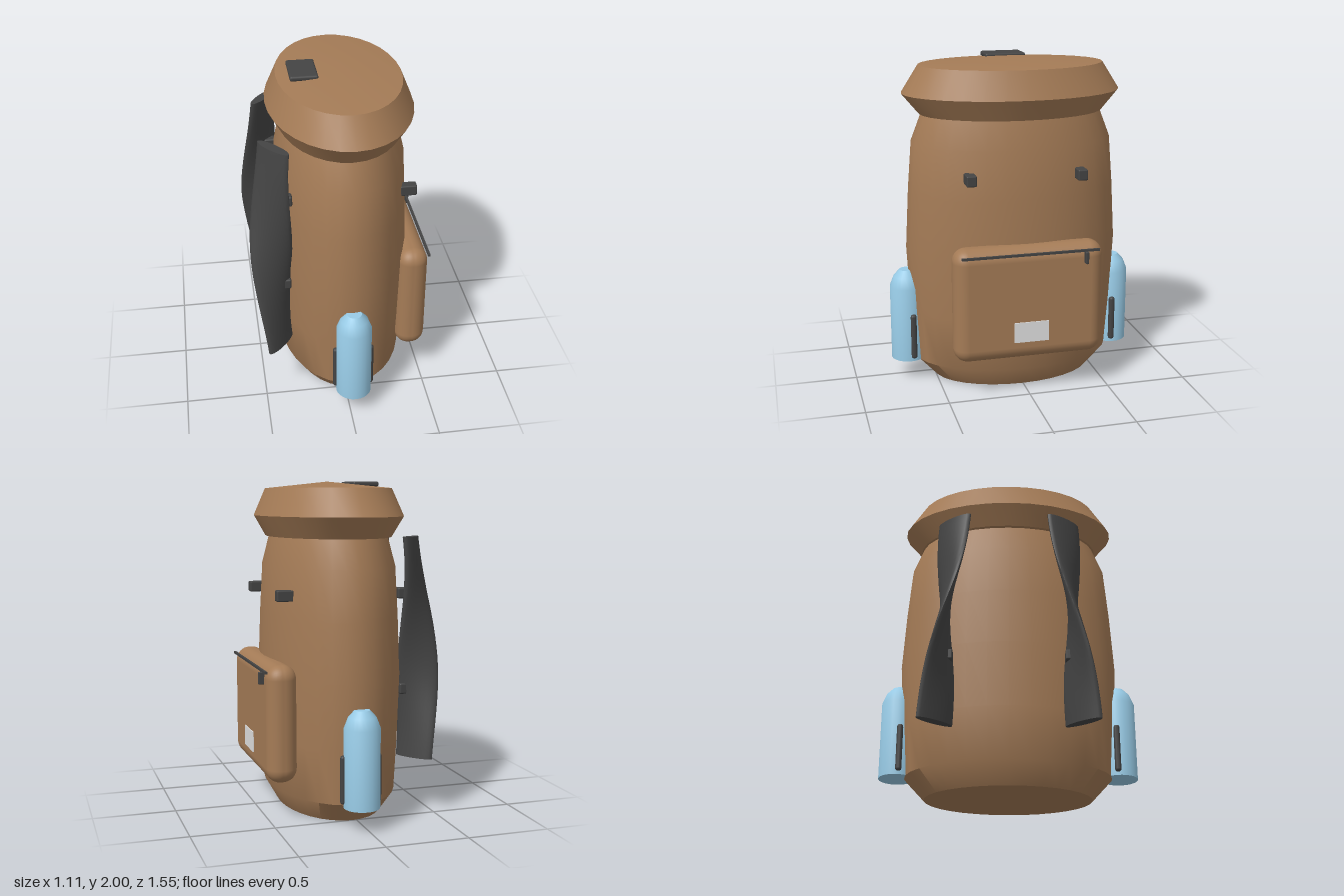
import * as THREE from 'three';
import { toCreasedNormals } from 'three/addons/utils/BufferGeometryUtils.js';
import { RoundedBoxGeometry } from 'three/addons/geometries/RoundedBoxGeometry.js';

const material = (name, color) => {
  const m = new THREE.MeshStandardMaterial({ color });
  m.name = name;
  return m;
};

export function createModel() {
  const canvas = material('brown canvas', 0xa47b56);
  const webbing = material('dark webbing', 0x444444);
  const bottleBlue = material('bottle blue', 0x98cbe6);
  const labelGrey = material('label grey', 0xe0e0e0);

  const model = new THREE.Group();
  model.name = 'backpack';
  const cx = 0.025; // the body sits slightly towards the pocket side

  const add = (name, geometry, mat, x = 0, y = 0, z = 0) => {
    const mesh = new THREE.Mesh(geometry, mat);
    mesh.name = name;
    mesh.position.set(x, y, z);
    model.add(mesh);
    return mesh;
  };
  // Turned profile of [radius, height], squashed in x to an ellipse
  const turned = (profile, squash, segments, crease) => {
    const g = new THREE.LatheGeometry(profile.map(p => new THREE.Vector2(...p)), segments);
    return toCreasedNormals(g.scale(squash, 1, 1), crease);
  };
  const rounded = (w, h, d, r, segments = 2) => new RoundedBoxGeometry(w, h, d, segments, r);

  // Main bag and lid
  add('body', turned([[0, 0], [0.5, 0], [0.62, 0.13], [0.645, 0.45], [0.665, 0.85],
    [0.645, 1.2], [0.62, 1.5], [0.55, 1.68]], 0.62, 32, 0.6), canvas, cx);
  add('lid', turned([[0, 1.67], [0.565, 1.67], [0.67, 1.795], [0.565, 1.96], [0, 2]],
    0.65, 32, 0.5), canvas, cx);
  add('lidPatch', rounded(0.165, 0.03, 0.25, 0.012), webbing, -0.187, 1.985, 0);

  // Pocket with zip, pull and label
  add('pocket', rounded(0.185, 0.705, 0.915, 0.085, 4), canvas, 0.428, 0.588, 0);
  add('zip', new THREE.BoxGeometry(0.014, 0.014, 0.835), webbing, 0.525, 0.902, 0);
  add('zipPull', rounded(0.045, 0.075, 0.02, 0.006), webbing, 0.53, 0.86, -0.335);
  add('label', new THREE.BoxGeometry(0.006, 0.125, 0.21), labelGrey, 0.532, 0.422, 0);

  for (const s of [1, -1]) {
    // Bottle held by a side band
    add('bottle', turned([[0, 0.13], [0.107, 0.13], [0.107, 0.6], [0.082, 0.665],
      [0.045, 0.705], [0, 0.705]], 1, 24, 0.65), bottleBlue, cx, 0, s * 0.667);
    add('bottleBand', rounded(0.25, 0.29, 0.036, 0.016), webbing, cx, 0.295, s * 0.647);

    // Shoulder strap: flat oval section twisting from top to bottom
    const strap = new THREE.CylinderGeometry(1, 1, 1.335, 24, 24);
    const p = strap.attributes.position;
    for (let i = 0; i < p.count; i++) {
      const y = p.getY(i), u = y / 0.6675;
      const th = 0.9 * Math.sin(u * Math.PI / 2), c = Math.cos(th), n = s * Math.sin(th);
      const a = p.getX(i) * 0.125, b = p.getZ(i) * 0.032;
      p.setXYZ(i, -0.43 + 0.035 * u * u + a * c - b * n, y, s * (0.38 - 0.045 * u) + a * n + b * c);
    }
    add('shoulderStrap', toCreasedNormals(strap, 0.8), webbing, 0, 1.005, 0);

    // Strap anchors and front loops
    add('upperAnchor', rounded(0.1, 0.065, 0.06, 0.01), webbing, -0.348, 1.338, s * 0.36);
    add('lowerAnchor', rounded(0.1, 0.065, 0.06, 0.01), webbing, -0.365, 0.755, s * 0.36);
    add('frontLoop', rounded(0.1, 0.065, 0.06, 0.008), webbing, 0.392, 1.338, s * 0.335);
  }
  return model;
}
